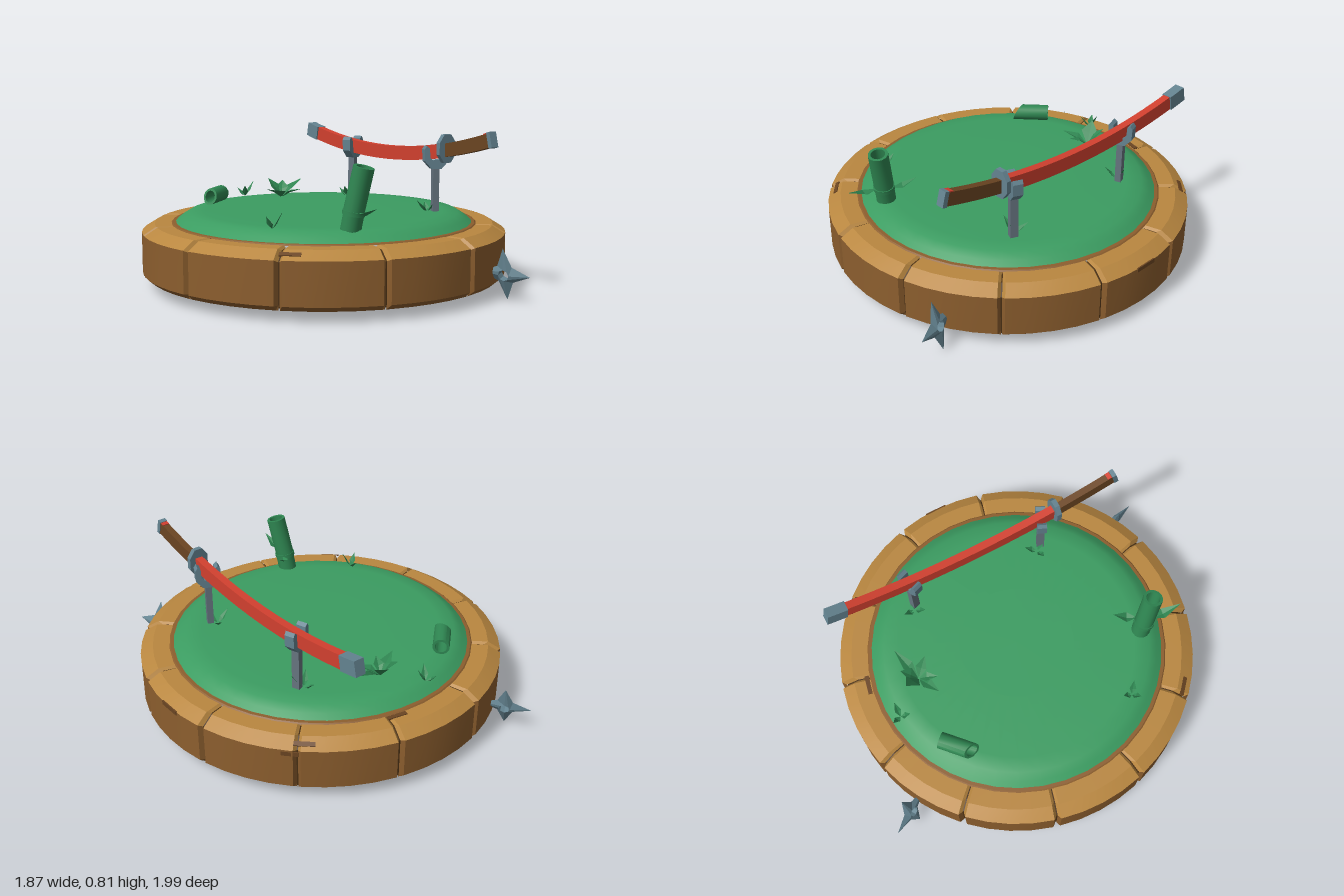
import * as THREE from 'three';
import { toCreasedNormals } from 'three/addons/utils/BufferGeometryUtils.js';

const mat = (name, color, side = THREE.FrontSide) => {
  const m = new THREE.MeshStandardMaterial({ color, side });
  m.name = name;
  return m;
};
const M = {
  stone: mat('stoneSide', 0x8c5e2e),
  stoneTop: mat('stoneTop', 0xb98740),
  groove: mat('groove', 0x4a3014, THREE.DoubleSide),
  floor: mat('underside', 0xb08042),
  grass: mat('grass', 0x3b9c61),
  bamboo: mat('bamboo', 0x2f8752, THREE.DoubleSide),
  red: mat('scabbardRed', 0xd2402f),
  steel: mat('steel', 0x648390),
  post: mat('postMetal', 0x66747f),
  grip: mat('gripBrown', 0x6b4522),
};
const V = (x, y, z) => new THREE.Vector3(x, y, z);

function add(parent, name, geometry, material, x = 0, y = 0, z = 0) {
  const mesh = new THREE.Mesh(geometry, material);
  mesh.name = name;
  mesh.position.set(x, y, z);
  parent.add(mesh);
  return mesh;
}

function lathe(pairs, segments = 64, crease = 0.5) {
  const pts = pairs.map(([r, y]) => new THREE.Vector2(r, y));
  return toCreasedNormals(new THREE.LatheGeometry(pts, segments), crease);
}

// One curved, hollow rim block with chamfered ends; group 0 = side colour, 1 = top colour
function blockGeometry() {
  const profile = [[0.905, 0.06], [0.935, 0.085], [0.935, 0.29], [0.87, 0.33], [0.775, 0.33],
    [0.775, 0.312], [0.85, 0.312], [0.905, 0.275]];
  const topEdges = [2, 3, 6];
  const sections = [[-14.8, 0.022]];
  for (let a = -13.9; a < 14; a += 27.8 / 4) sections.push([a, 0]);
  sections.push([14.8, 0.022]);
  const point = ([deg, inset], k) => {
    const j = k % profile.length;
    const [r, y] = profile[j];
    const a = THREE.MathUtils.degToRad(deg);
    const rr = r - (j > 0 && j < 4 ? inset : 0);
    const yy = y - (j > 1 && j < 5 ? inset * 0.5 : 0);
    return [rr * Math.sin(a), yy, rr * Math.cos(a)];
  };
  const side = [], top = [];
  for (let i = 0; i < sections.length - 1; i++) {
    for (let j = 0; j < profile.length; j++) {
      const a = point(sections[i], j), b = point(sections[i], j + 1);
      const c = point(sections[i + 1], j + 1), d = point(sections[i + 1], j);
      (topEdges.includes(j) ? top : side).push(...a, ...d, ...c, ...a, ...c, ...b);
    }
  }
  let g = new THREE.BufferGeometry();
  g.setAttribute('position', new THREE.Float32BufferAttribute([...side, ...top], 3));
  g = toCreasedNormals(g, 0.3);
  g.clearGroups();
  g.addGroup(0, side.length / 3, 0);
  g.addGroup(side.length / 3, top.length / 3, 1);
  return g;
}

// Box bent along the curve of the sword
const curveY = (z) => 0.658 + 0.152 * (z + 0.1) ** 2;
function curvedBar(z0, z1, w, h, n = 12, lift = 0) {
  const g = new THREE.BoxGeometry(w, h, z1 - z0, 1, 1, n);
  const p = g.attributes.position;
  for (let i = 0; i < p.count; i++) {
    const z = p.getZ(i) + (z0 + z1) / 2, y = p.getY(i) + lift;
    p.setXYZ(i, p.getX(i), curveY(z) + y, z - y * 0.3 * (z + 0.1));
  }
  g.computeVertexNormals();
  return g;
}

// Hollow stalk between two points, with a slanted cut at its start
function stalk(parent, name, from, to, radius, cut = 0) {
  const h = from.distanceTo(to), ri = radius * 0.72;
  const g = new THREE.LatheGeometry([[ri, 0], [radius, 0], [radius, h], [ri, h], [ri, 0]]
    .map(([r, y]) => new THREE.Vector2(r, y)), 14);
  const p = g.attributes.position;
  for (let i = 0; i < p.count; i++) {
    if (p.getY(i) < h / 2) p.setY(i, p.getX(i) * cut);
  }
  const mesh = add(parent, name, toCreasedNormals(g, 0.6), M.bamboo);
  mesh.position.copy(from);
  mesh.quaternion.setFromUnitVectors(V(0, 1, 0), to.clone().sub(from).normalize());
}

// Folded leaf from base to tip
function leaf(parent, base, tip, width, lift = 0.02) {
  const dir = tip.clone().sub(base);
  const across = V(dir.z, 0, -dir.x).normalize().multiplyScalar(width / 2);
  const mid = base.clone().lerp(tip, 0.42).add(V(0, lift - 0.012, 0));
  const l = mid.clone().add(across).add(V(0, 0.012, 0));
  const r = mid.clone().sub(across).add(V(0, 0.012, 0));
  const g = new THREE.BufferGeometry().setFromPoints(
    [base, l, mid, base, mid, r, mid, l, tip, mid, tip, r]);
  g.computeVertexNormals();
  add(parent, 'leaf', g, M.bamboo);
}

// Four-pointed throwing star with a round hole
function starGeometry() {
  const at = (r, k, z) => [r * Math.cos(k * Math.PI / 4), r * Math.sin(k * Math.PI / 4), z];
  const pos = [];
  const outer = (k) => at(k % 2 ? 0.055 : 0.132, k, 0);
  for (let k = 0; k < 8; k++) {
    const o0 = outer(k), o1 = outer(k + 1);
    const f0 = at(0.028, k, 0.02), f1 = at(0.028, k + 1, 0.02);
    const b0 = at(0.028, k, -0.02), b1 = at(0.028, k + 1, -0.02);
    pos.push(...f0, ...o0, ...o1, ...f0, ...o1, ...f1);
    pos.push(...b0, ...o1, ...o0, ...b0, ...b1, ...o1);
    pos.push(...f0, ...f1, ...b1, ...f0, ...b1, ...b0);
  }
  const g = new THREE.BufferGeometry();
  g.setAttribute('position', new THREE.Float32BufferAttribute(pos, 3));
  g.computeVertexNormals();
  return g;
}

export function createModel() {
  const root = new THREE.Group();
  root.name = 'islandBase';

  // Hollow rim of twelve blocks around a dark core sheet that shows in the gaps
  const base = new THREE.Group();
  base.name = 'base';
  base.position.z = -0.01;
  root.add(base);
  const block = blockGeometry();
  for (let i = 0; i < 12; i++) {
    add(base, 'rimBlock', block, [M.stone, M.stoneTop]).rotation.y = i * Math.PI / 6;
  }
  add(base, 'rimCore', lathe([[0.908, 0.07], [0.909, 0.276], [0.85, 0.315], [0.78, 0.315]], 60), M.groove);
  add(base, 'dirtEdge', lathe([[0.787, 0.329], [0.78, 0.335], [0.74, 0.337]], 40), M.stone);

  // Chips on the rim top and side: angle, radius, height, width, tilt
  for (const [deg, r, y, w, tilt] of [[168, 0.8, 0.331, 0.1, 0], [137, 0.903, 0.31, 0.1, 0.55],
    [-42, 0.898, 0.312, 0.1, 0.55], [91, 0.932, 0.283, 0.12, 1.57], [133, 0.931, 0.27, 0.08, 1.57]]) {
    const a = THREE.MathUtils.degToRad(deg);
    const chip = add(base, 'rimChip', new THREE.BoxGeometry(w, 0.007, 0.022), M.grip, r * Math.sin(a), y, r * Math.cos(a));
    chip.rotation.set(tilt, a, 0, 'YXZ');
  }

  // Grass mound and underside
  add(base, 'grassMound', lathe([[0.768, 0.332], [0.735, 0.357], [0.695, 0.382], [0.62, 0.386], [0.3, 0.388], [0, 0.388]], 40, 0.8), M.grass);
  add(base, 'underside', new THREE.CircleGeometry(0.855, 48), M.floor, 0, 0.31, 0).rotation.x = Math.PI / 2;
  add(base, 'undersidePatch', new THREE.CircleGeometry(0.16, 9), M.stone, 0, 0.306, 0).rotation.x = Math.PI / 2;
  for (let i = 0; i < 12; i++) {
    const a = (i + 0.5) * Math.PI / 6;
    add(base, 'undersideCrack', new THREE.BoxGeometry(0.006, 0.004, 0.5), M.stone,
      0.58 * Math.sin(a), 0.309, 0.58 * Math.cos(a)).rotation.y = a;
  }

  // Sword in its scabbard
  const sword = new THREE.Group();
  sword.name = 'sword';
  sword.position.x = 0.44;
  root.add(sword);
  add(sword, 'scabbard', curvedBar(-0.74, 0.44, 0.04, 0.072, 20), M.red);
  add(sword, 'scabbardCap', curvedBar(-0.835, -0.73, 0.054, 0.076, 2), M.steel);
  add(sword, 'grip', curvedBar(0.44, 0.78, 0.036, 0.066, 8), M.grip);
  add(sword, 'gripInlay', curvedBar(0.75, 0.772, 0.036, 0.005, 1, 0.034), M.red);
  add(sword, 'pommel', curvedBar(0.774, 0.797, 0.042, 0.074, 1), M.steel);
  const guard = new THREE.CylinderGeometry(0.056, 0.056, 0.026, 8).rotateY(Math.PI / 8).rotateX(Math.PI / 2);
  guard.scale(1, 1.38, 1);
  add(sword, 'guard', toCreasedNormals(guard, 0.3), M.steel, 0, 0.712, 0.445);

  // Two forked stand posts
  const u = new THREE.Shape([[-0.026, 0], [0.026, 0], [0.062, 0.04], [0.064, 0.1], [0.052, 0.118], [0.036, 0.105], [0.034, 0.06],
    [0.02, 0.045], [-0.02, 0.045], [-0.034, 0.06], [-0.036, 0.105], [-0.052, 0.118], [-0.064, 0.1], [-0.062, 0.04]]
    .map(([x, y]) => new THREE.Vector2(x, y)));
  const fork = new THREE.ExtrudeGeometry(u, { depth: 0.05, bevelEnabled: false }).translate(0, 0, -0.025);
  for (const [z, yaw] of [[0.365, -0.4], [-0.385, 0.35]]) {
    const stand = new THREE.Group();
    stand.name = 'swordStand';
    stand.position.set(0.437, 0, z);
    stand.rotation.y = yaw;
    root.add(stand);
    add(stand, 'standPost', new THREE.BoxGeometry(0.032, 0.25, 0.04), M.post, 0, 0.49, 0);
    add(stand, 'standFork', fork, M.steel, 0, 0.604, 0);
  }

  // Throwing stars stuck in the rim
  const star = starGeometry();
  for (const [c, a, up] of [
    [V(0.467, 0.14, 0.868), V(0.32, 0, 0.95), V(-0.2, 0.97, 0.09)],
    [V(-0.487, 0.14, -0.885), V(-0.55, 0, -0.83), V(0.18, 0.94, -0.29)],
  ]) {
    a.normalize();
    const n = a.clone().cross(up).normalize();
    const m = add(root, 'throwingStar', star, M.steel);
    m.quaternion.setFromRotationMatrix(new THREE.Matrix4().makeBasis(a, n.clone().cross(a), n));
    m.position.copy(c);
  }

  // Bamboo: one standing in two joints, one lying
  const plants = new THREE.Group();
  plants.name = 'plants';
  root.add(plants);
  stalk(plants, 'bambooLower', V(-0.25, 0.3, 0.585), V(-0.234, 0.46, 0.613), 0.049);
  stalk(plants, 'bambooNode', V(-0.236, 0.452, 0.612), V(-0.234, 0.472, 0.615), 0.054);
  stalk(plants, 'bambooUpper', V(-0.235, 0.465, 0.613), V(-0.208, 0.675, 0.655), 0.05);
  stalk(plants, 'fallenBamboo', V(-0.42, 0.425, -0.485), V(-0.295, 0.425, -0.6), 0.043, -0.6);
  leaf(plants, V(-0.24, 0.465, 0.65), V(-0.25, 0.505, 0.82), 0.055, -0.01);
  leaf(plants, V(-0.2, 0.465, 0.59), V(-0.14, 0.505, 0.48), 0.055, -0.01);

  // Large leaf cluster, with upright leaves in the middle
  for (const [x, y, z, w] of [[0.02, 0.485, -0.63, 0.09], [0.225, 0.475, -0.6, 0.06], [0.14, 0.43, -0.47, 0.06],
    [-0.07, 0.44, -0.49, 0.06], [0.11, 0.47, -0.62, 0.07], [0.01, 0.43, -0.46, 0.05]]) {
    leaf(plants, V(0.06, 0.38, -0.55), V(x, y, z), w, 0.02);
  }

  // Small tufts
  for (const [x, z, s, turn] of [[-0.08, -0.72, 0.055, 0], [-0.53, 0.38, 0.05, 0.6], [0.41, -0.4, 0.065, 0.3], [0.41, 0.335, 0.07, 1]]) {
    for (let k = 0; k < 3; k++) {
      const a = turn + k * 2.1;
      leaf(plants, V(x, 0.38, z), V(x + s * Math.cos(a), 0.465 - 0.02 * k, z + s * Math.sin(a)), 0.035, 0);
    }
  }
  return root;
}
